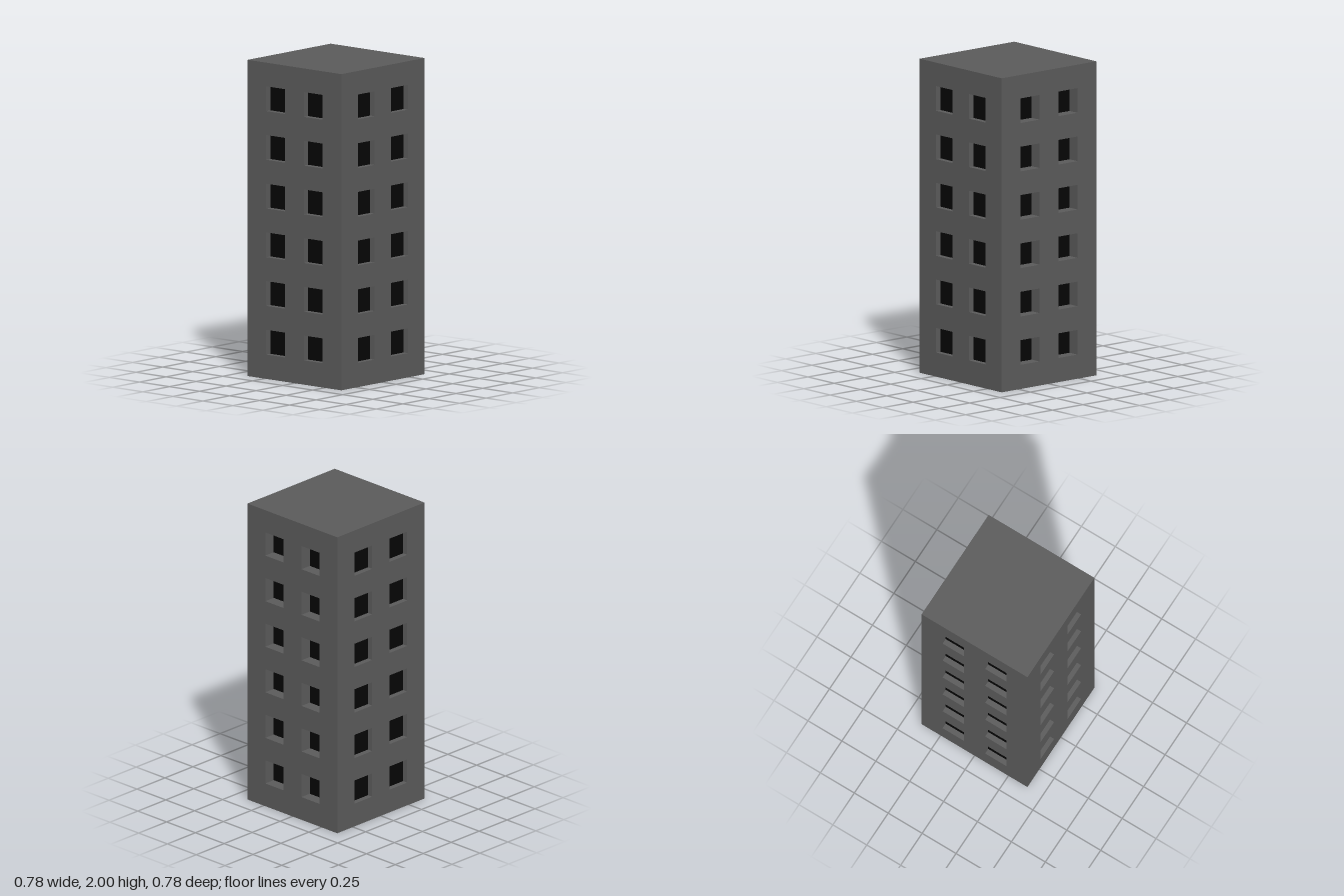
import * as THREE from 'three';

const HALF = 0.39, HEIGHT = 2, SLAB = 0.05;
const WIN = 0.157, WIN_X = 0.157, ROWS = 6, PITCH = 0.308, FIRST_Y = 0.232;
// depth of the window recesses on each side
const FRONT = 0.04, BACK = 0.075, SIDE = 0.036;

const concrete = new THREE.MeshStandardMaterial({ color: 0x5a5a5a });
const dark = new THREE.MeshStandardMaterial({ color: 0x050505 });

// rectangle path from corner to corner
function rect(path, x0, y0, x1, y1) {
  path.moveTo(x0, y0);
  path.lineTo(x1, y0);
  path.lineTo(x1, y1);
  path.lineTo(x0, y1);
  path.closePath();
  return path;
}

// wall facing +z with two columns of square openings, then turned to its side
function wall(name, x0, x1, depth, angle) {
  const shape = rect(new THREE.Shape(), x0, SLAB, x1, HEIGHT - SLAB);
  for (let row = 0; row < ROWS; row++) {
    for (const side of [-1, 1]) {
      const x = side * WIN_X, y = FIRST_Y + row * PITCH, h = WIN / 2;
      shape.holes.push(rect(new THREE.Path(), x - h, y - h, x + h, y + h));
    }
  }
  const geo = new THREE.ExtrudeGeometry(shape, { depth, bevelEnabled: false });
  geo.translate(0, 0, HALF - depth);
  geo.rotateY(angle);
  const mesh = new THREE.Mesh(geo, concrete);
  mesh.name = name;
  return mesh;
}

function box(name, w, h, d, y, z, material) {
  const mesh = new THREE.Mesh(new THREE.BoxGeometry(w, h, d), material);
  mesh.position.set(0, y, z);
  mesh.name = name;
  return mesh;
}

export function createModel() {
  const tower = new THREE.Group();
  tower.name = 'towerBlock';

  // outer walls; the side walls fit between the front and back walls
  tower.add(
    wall('frontWall', -HALF, HALF, FRONT, 0),
    wall('backWall', -HALF, HALF, BACK, Math.PI),
    wall('leftWall', -HALF + FRONT, HALF - BACK, SIDE, Math.PI / 2),
    wall('rightWall', -HALF + BACK, HALF - FRONT, SIDE, -Math.PI / 2)
  );

  // roof and base
  tower.add(
    box('roof', HALF * 2, SLAB, HALF * 2, HEIGHT - SLAB / 2, 0, concrete),
    box('base', HALF * 2, SLAB, HALF * 2, SLAB / 2, 0, concrete)
  );

  // dark core seen through the openings as window panes
  tower.add(box('windowPanes', 2 * (HALF - SIDE), HEIGHT - 2 * SLAB,
    2 * HALF - FRONT - BACK, HEIGHT / 2, (BACK - FRONT) / 2, dark));

  return tower;
}
